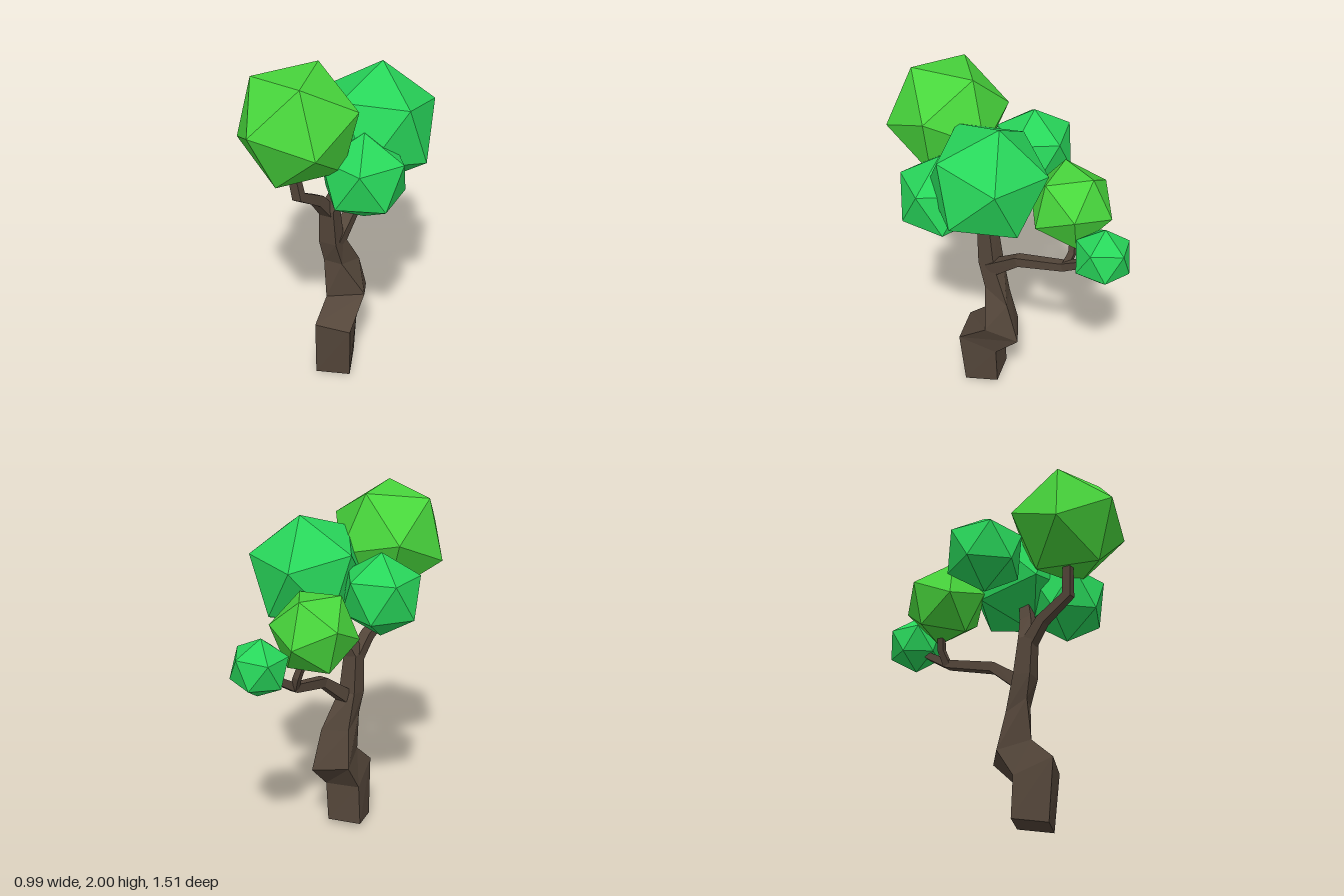
import * as THREE from 'three';

const V = (p) => new THREE.Vector3(...p);
const mat = (color) => new THREE.MeshStandardMaterial({ color, flatShading: true });

// Skin a list of four-cornered rings (front left, front right, back right, back left) and cap both ends
function loft(rings) {
  const pos = [];
  const quad = (a, b, c, d) => [a, b, c, a, c, d].forEach((p) => pos.push(p.x, p.y, p.z));
  for (let i = 0; i < rings.length - 1; i++) {
    for (let k = 0; k < 4; k++) {
      const n = (k + 1) % 4;
      quad(rings[i][k], rings[i][n], rings[i + 1][n], rings[i + 1][k]);
    }
  }
  quad(...[...rings[0]].reverse());
  quad(...rings[rings.length - 1]);
  const geo = new THREE.BufferGeometry();
  geo.setAttribute('position', new THREE.Float32BufferAttribute(pos, 3));
  geo.computeVertexNormals();
  return geo;
}

// Square rings along a path; each point is [x, y, z, half width]
function pathRings(points) {
  const pts = points.map(V);
  return pts.map((p, i) => {
    const t = pts[Math.min(i + 1, pts.length - 1)].clone().sub(pts[Math.max(i - 1, 0)]).normalize();
    const u = new THREE.Vector3(1, 0, 0).addScaledVector(t, -t.x).normalize();
    const v = t.clone().cross(u);
    const r = points[i][3];
    return [[-1, -1], [1, -1], [1, 1], [-1, 1]].map(([a, b]) =>
      p.clone().addScaledVector(u, a * r).addScaledVector(v, b * r));
  });
}

// Icosahedron with one corner along "axis" and a neighbouring corner towards "side"
function crown(radius, axis, side) {
  const basis = (a, b) => {
    const y = a.clone().normalize();
    const x = b.clone().addScaledVector(y, -b.dot(y)).normalize();
    return new THREE.Matrix4().makeBasis(x, y, x.clone().cross(y));
  };
  const g = (1 + Math.sqrt(5)) / 2;
  const from = basis(V([0, 1, g]), V([0, -1, g]));
  const to = basis(V(axis), V(side));
  return new THREE.IcosahedronGeometry(radius, 0).applyMatrix4(to.multiply(from.invert()));
}

export function createModel() {
  const group = new THREE.Group();
  const bark = mat(0x54463a);
  const green = mat(0x28d65a);
  const lime = mat(0x48d63c);
  const add = (name, geo, material, at = [0, 0, 0]) => {
    const mesh = new THREE.Mesh(geo, material);
    mesh.name = name;
    mesh.position.set(...at);
    group.add(mesh);
  };

  // Crooked trunk, ending inside the largest side crown
  const lower = [
    [[-0.06, 0, 0.285], [0.13, 0, 0.23], [0.07, 0.03, 0.04], [-0.12, 0.03, 0.095]],
    [[-0.05, 0.36, 0.31], [0.145, 0.33, 0.26], [0.085, 0.27, 0.04], [-0.105, 0.27, 0.1]],
    [[-0.04, 0.48, 0.18], [0.15, 0.48, 0.07], [0.08, 0.42, -0.11], [-0.1, 0.43, 0]],
    [[-0.06, 0.72, 0.165], [0.04, 0.7, 0.14], [0.07, 0.65, -0.03], [-0.07, 0.65, 0.04]],
  ].map((ring) => ring.map(V));
  const upper = pathRings([
    [-0.025, 0.86, 0.14, 0.052], [-0.025, 1.08, 0.16, 0.043],
    [0.05, 1.24, 0.125, 0.035], [0.11, 1.42, 0.08, 0.028],
  ]);
  add('trunk', loft([...lower, ...upper]), bark);

  // Branches
  const branches = {
    frontBranch: [[-0.03, 1.05, 0.165, 0.035], [-0.05, 1.17, 0.26, 0.03],
      [-0.075, 1.28, 0.43, 0.027], [-0.11, 1.52, 0.45, 0.022]],
    backBranch: [[-0.01, 0.82, 0.12, 0.04], [0.025, 0.98, -0.08, 0.028],
      [0.01, 1.05, -0.36, 0.024], [0.03, 1.14, -0.5, 0.02], [0.05, 1.22, -0.6, 0.016]],
    backTwig: [[0.005, 1.05, -0.37, 0.02], [-0.03, 1.13, -0.39, 0.018], [-0.08, 1.28, -0.37, 0.016]],
  };
  for (const [name, path] of Object.entries(branches)) add(name, loft(pathRings(path)), bark);

  // Leaf crowns
  add('frontCrown', crown(0.34, [-0.115, 0.045, 0.315], [0.1, 0.285, 0.16]), lime, [-0.07, 1.715, 0.44]);
  add('leftCrown', crown(0.344, [0, 0.97, -0.23], [-1, 0, 0]), green, [0.185, 1.575, 0.02]);
  add('backCrown', crown(0.242, [-0.025, -0.025, -0.235], [0.205, 0.045, -0.11]), lime, [-0.1, 1.385, -0.33]);
  add('rearCrown', crown(0.167, [-0.1, 1, 0], [1, 0.4, 0]), green, [0.05, 1.245, -0.615]);
  add('rightCrown', crown(0.235, [0, 1, 0], [1, 0, 0]), green, [-0.29, 1.53, 0.02]);
  add('frontLeftCrown', crown(0.25, [0, 1, 0], [1, 0, 0]), green, [0.235, 1.41, 0.285]);

  return group;
}
